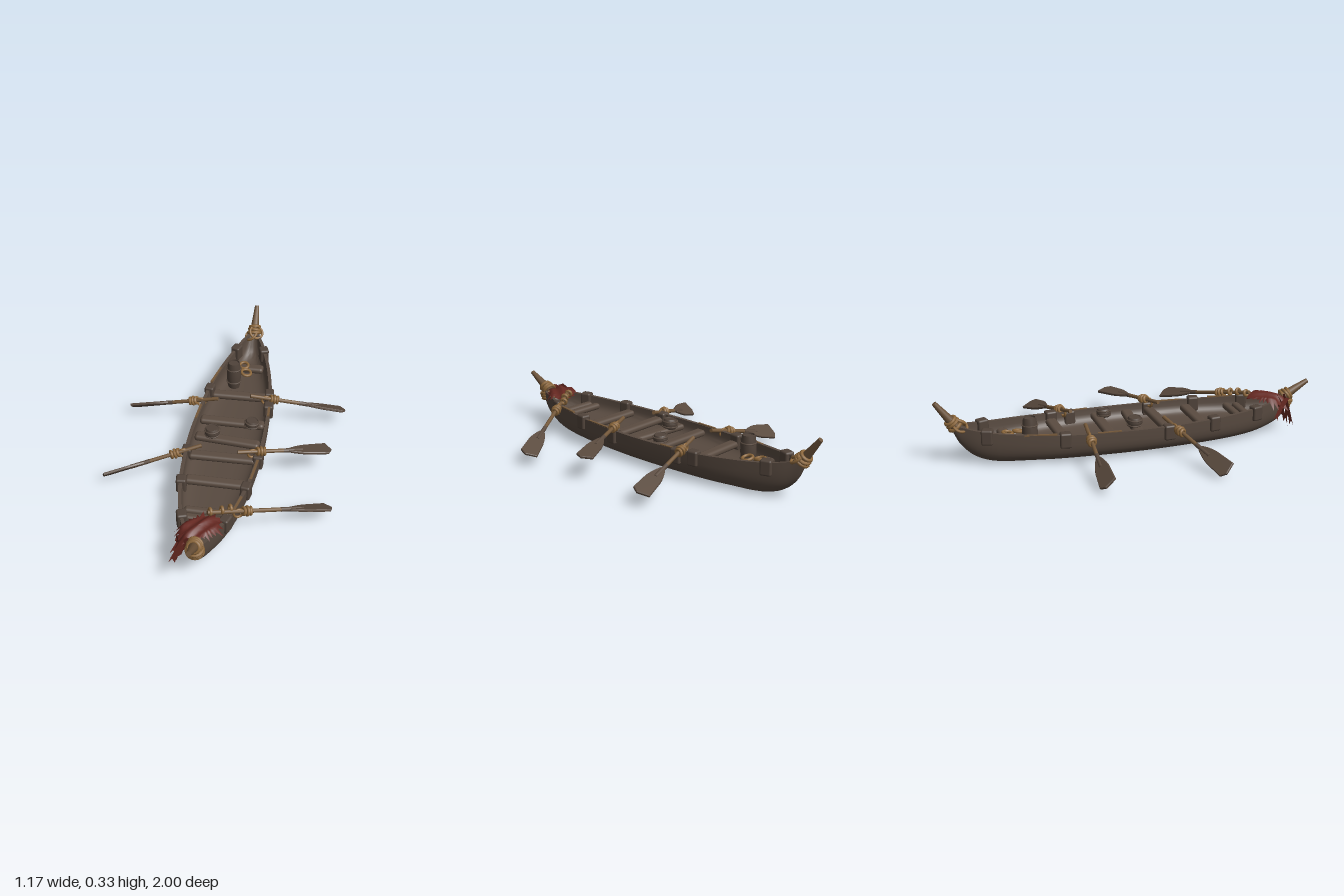
import * as THREE from 'three';
import { toCreasedNormals } from 'three/addons/utils/BufferGeometryUtils.js';
import { RoundedBoxGeometry } from 'three/addons/geometries/RoundedBoxGeometry.js';

const V = (x, y, z) => new THREE.Vector3(x, y, z);
function material(name, color, side = THREE.FrontSide) {
  const m = new THREE.MeshStandardMaterial({ color, side });
  m.name = name;
  return m;
}
const mats = {
  hull: material('hull wood', 0x584a40),
  bench: material('bench wood', 0x5b4c41),
  dark: material('dark wood', 0x50433a),
  blade: material('oar blade wood', 0x5a4a3e),
  shaft: material('oar shaft wood', 0x74583a),
  rope: material('rope', 0x8c673b),
  horn: material('horn', 0x6a5138),
  cloth: material('red cloth', 0x662821, THREE.DoubleSide),
};
const CX = 0.008;

// Hull stations: z, half width, rim height, bottom height
const stations = [
  [-0.91, 0.018, 0.215, 0.18], [-0.87, 0.035, 0.2, 0.1], [-0.8, 0.07, 0.185, 0.035], [-0.7, 0.105, 0.172, 0.005],
  [-0.55, 0.145, 0.162, 0.003], [-0.35, 0.178, 0.152, 0.001], [0, 0.197, 0.148, 0], [0.3, 0.183, 0.15, 0.002],
  [0.5, 0.154, 0.155, 0.004], [0.65, 0.117, 0.162, 0.01], [0.76, 0.075, 0.168, 0.03], [0.83, 0.045, 0.172, 0.06],
  [0.88, 0.02, 0.18, 0.12],
];
const upper = new THREE.CatmullRomCurve3(stations.map(s => V(s[0], s[1], s[2])), false, 'catmullrom');
const lower = new THREE.CatmullRomCurve3(stations.map(s => V(s[0], s[3], 0)), false, 'catmullrom');
const table = Array.from({ length: 49 }, (_, i) => {
  const p = upper.getPoint(i / 48);
  return { z: p.x, w: p.y, rim: p.z, bottom: Math.max(0, lower.getPoint(i / 48).y) };
});
function rimAt(z) {
  let i = 0;
  while (i < table.length - 2 && table[i + 1].z < z) i++;
  const a = table[i], b = table[i + 1];
  const t = THREE.MathUtils.clamp((z - a.z) / (b.z - a.z), 0, 1);
  return { w: a.w + (b.w - a.w) * t, y: a.rim + (b.rim - a.rim) * t, slope: Math.atan2(b.w - a.w, b.z - a.z) };
}

// Hollow shell: each section runs down the outside and back along the inside
function hullGeometry() {
  const M = 22, R = 2 * (M + 1), pos = [], idx = [];
  for (const s of table) {
    const n = 2 + 1.6 * Math.min(1, s.w / 0.15);
    const inW = Math.max(0.003, s.w - 0.018);
    const inDepth = Math.max(0.002, (s.rim - s.bottom - 0.065) * THREE.MathUtils.smoothstep(s.w, 0.02, 0.06));
    for (let k = 0; k < R; k++) {
      const inside = k > M;
      const a = Math.PI * (inside ? R - 1 - k : k) / M;
      const c = Math.cos(a), sn = Math.max(0, Math.sin(a));
      const x = Math.sign(c) * Math.pow(Math.abs(c), 2 / n) * (inside ? inW : s.w);
      pos.push(CX + x, s.rim - Math.pow(sn, 2 / n) * (inside ? inDepth : s.rim - s.bottom), s.z);
    }
  }
  for (let i = 0; i < table.length - 1; i++) for (let j = 0; j < R; j++) {
    const a = i * R + j, b = i * R + (j + 1) % R, c = a + R, d = b + R;
    idx.push(a, c, b, b, c, d);
  }
  const last = (table.length - 1) * R;
  for (let j = 0; j < M; j++) {
    const p = j, q = j + 1, u = R - 1 - j, v = R - 2 - j;
    idx.push(last + p, last + u, last + q, last + q, last + u, last + v);
    idx.push(p, q, u, q, v, u);
  }
  const g = new THREE.BufferGeometry();
  g.setAttribute('position', new THREE.Float32BufferAttribute(pos, 3));
  g.setIndex(idx);
  return toCreasedNormals(g, 0.8);
}

export function createModel() {
  const model = new THREE.Group();
  model.name = 'rowingBoat';
  function add(name, geo, mat, at = V(0, 0, 0), parent = model) {
    const m = new THREE.Mesh(geo, mat);
    m.name = name;
    m.position.copy(at);
    parent.add(m);
    return m;
  }
  // Rope ring wound around an axis
  function ring(name, at, axis, r, tube = 0.008) {
    const m = add(name, new THREE.TorusGeometry(r, tube, 8, 18), mats.rope, at);
    m.quaternion.setFromUnitVectors(V(0, 0, 1), axis.clone().normalize());
    return m;
  }

  add('hull', hullGeometry(), mats.hull);

  // Benches: z, length, yaw
  const benches = [[-0.65, 0.18, 0], [-0.38, 0.3, 0.03], [-0.14, 0.34, 0], [0.015, 0.34, -0.08],
    [0.155, 0.34, 0.02], [0.35, 0.3, 0], [0.57, 0.22, 0], [0.62, 0.2, 0]];
  for (const [z, len, yaw] of benches) {
    const b = add('bench', new RoundedBoxGeometry(len, 0.034, z > 0.5 ? 0.042 : 0.058, 3, 0.016), mats.bench, V(CX, 0.116, z));
    b.rotation.y = yaw;
  }

  // Wooden clamps straddling the rim: side, z, drop below the rim
  const clamps = [[1, -0.28, 0.034]];
  for (const side of [-1, 1]) clamps.push([side, -0.75, 0.024], [side, -0.38, 0.026], [side, 0.15, 0.032], [side, 0.4, 0.024], [side, 0.655, 0.026]);
  for (const [side, z, drop] of clamps) {
    const r = rimAt(z);
    const c = add('rimClamp', new RoundedBoxGeometry(0.05, 0.078, 0.058, 2, 0.01), mats.dark, V(CX + side * (r.w - 0.012), r.y - drop, z));
    c.rotation.y = side * r.slope;
  }

  // Worn pale strips along the rim
  for (const [side, z0, z1] of [[-1, -0.58, -0.42], [-1, -0.22, -0.1], [1, -0.26, -0.18], [1, 0.19, 0.34], [1, 0.48, 0.6]]) {
    const zm = (z0 + z1) / 2, r = rimAt(zm);
    const s = add('wornRim', new THREE.BoxGeometry(0.012, 0.008, z1 - z0), mats.shaft, V(CX + side * (r.w - 0.007), r.y, zm));
    s.rotation.y = side * r.slope;
  }

  // Oars: inner end, tip, position of the rope lashing, blade twist
  const bladeShape = new THREE.Shape();
  bladeShape.moveTo(-0.01, -0.01);
  bladeShape.quadraticCurveTo(0.03, -0.03, 0.08, -0.037);
  bladeShape.lineTo(0.19, -0.044);
  bladeShape.lineTo(0.205, 0.012);
  bladeShape.lineTo(0.185, 0.04);
  bladeShape.lineTo(0.08, 0.036);
  bladeShape.quadraticCurveTo(0.03, 0.028, -0.01, 0.01);
  const bladeGeo = new THREE.ExtrudeGeometry(bladeShape, { depth: 0.008, bevelEnabled: true, bevelSize: 0.003, bevelThickness: 0.003, bevelSegments: 1 });
  bladeGeo.translate(0, 0, -0.004).rotateX(Math.PI / 2);
  const oars = [
    [V(0.08, 0.185, -0.295), V(0.58, 0.072, -0.41), 0.13, -0.35],
    [V(0.09, 0.18, 0.18), V(0.54, 0.127, 0.005), 0.12, -0.1],
    [V(0.03, 0.205, 0.67), V(0.58, 0.058, 0.37), 0.2, -0.35],
    [V(-0.09, 0.17, -0.262), V(-0.58, 0.045, -0.285), 0.14, 0.7],
    [V(-0.1, 0.17, 0.145), V(-0.58, 0.04, 0.31), 0.14, 0.75],
  ];
  for (const [a, b, lash, twist] of oars) {
    const X = b.clone().sub(a), len = X.length();
    X.normalize();
    const Z = X.clone().cross(V(0, 1, 0)).normalize(), Y = Z.clone().cross(X);
    const oar = new THREE.Group();
    oar.name = 'oar';
    oar.position.copy(a);
    oar.quaternion.setFromRotationMatrix(new THREE.Matrix4().makeBasis(X, Y, Z));
    oar.rotateX(twist);
    model.add(oar);
    const neck = len - 0.21;
    const mid = neck * 0.75 + lash * 0.25;
    for (const [x0, x1, r, mat] of [[0, mid, 0.01, mats.shaft], [mid, neck + 0.06, 0.011, mats.blade]]) {
      const s = add('oarShaft', new THREE.CylinderGeometry(r, r, x1 - x0, 10), mat, V((x0 + x1) / 2, 0, 0), oar);
      s.rotation.z = -Math.PI / 2;
    }
    add('oarBlade', bladeGeo, mats.blade, V(neck, 0, 0), oar);
    // Lashing around the shaft and down to the rim
    for (let i = -1; i <= 1; i++) {
      const p = a.clone().addScaledVector(X, lash + i * 0.018);
      ring('oarLashing', p, X.clone().add(V(0, i * 0.15, 0.2 * i)), 0.019 - Math.abs(i) * 0.003);
    }
    ring('rimLashing', a.clone().addScaledVector(X, lash - 0.045).add(V(0, -0.012, 0)), Z, 0.022, 0.006);
  }
  for (const [x, y, z] of [[0.04, 0.2, 0.655], [0.09, 0.195, 0.63], [0.125, 0.185, 0.6]]) ring('oarKnot', V(x, y, z), V(1, -0.2, -0.5), 0.014);

  // Horn posts with rope wrapping at bow and stern
  const posts = [
    ['bowHorn', V(CX, 0.165, 0.845), V(CX, 0.248, 0.993), 0.028],
    ['sternHorn', V(CX, 0.19, -0.885), V(CX, 0.325, -0.988), 0.027],
  ];
  for (const [name, a, b, r] of posts) {
    const d = b.clone().sub(a), len = d.length();
    d.normalize();
    const horn = add(name, new THREE.CylinderGeometry(0.012, r, len, 12), mats.horn, a.clone().add(b).multiplyScalar(0.5));
    horn.quaternion.setFromUnitVectors(V(0, 1, 0), d);
    for (let i = 0; i < 3; i++) ring('postRope', a.clone().addScaledVector(d, 0.012 + i * 0.018), d.clone().add(V((i % 2 - 0.5) * 0.2, 0, 0)), 0.033 - i * 0.003, 0.009);
  }
  for (let i = 0; i < 3; i++) ring('bowRope', V(CX, 0.157 - i * 0.013, 0.865 - i * 0.006), V(0, 1, 0.25), 0.035, 0.011);
  ring('sternRopeLoop', V(CX + 0.014, 0.215, -0.875), V(0.4, 0.8, 0.5), 0.037, 0.007);
  ring('sternRopeLoop', V(CX - 0.014, 0.2, -0.87), V(-0.5, 0.8, 0.3), 0.036, 0.007);

  // Torn cloth draped over the bow, with uneven reach and folds
  const cloth = new THREE.RingGeometry(0.001, 1, 48, 6);
  cloth.rotateX(-Math.PI / 2);
  const cp = cloth.attributes.position;
  for (let i = 0; i < cp.count; i++) {
    const x = cp.getX(i), z = cp.getZ(i), r = Math.hypot(x, z), a = Math.atan2(z, x);
    const k = (Math.round(a / (Math.PI / 24)) + 48) % 6;
    const reach = 0.09 + 0.022 * Math.cos(2 * a + 1.5) + (r > 0.9 ? [0.022, -0.006, 0.006, -0.014, 0.012, -0.01][k] : 0);
    const px = 0.006 + x * reach, pz = 0.752 + z * reach;
    const over = Math.max(0, Math.abs(px - CX) - rimAt(pz).w - 0.004);
    cp.setXYZ(i, px, 0.197 + 0.007 * Math.sin(px * 90 + pz * 60) - 0.02 * r ** 3 - over * 0.9, pz);
  }
  cloth.computeVertexNormals();
  add('bowCloth', cloth, mats.cloth);

  // Hanging tatters on the right of the bow: position, yaw, height scale
  const tatter = new THREE.Shape([[0, 0.185], [-0.03, 0.2], [-0.06, 0.175], [-0.085, 0.12], [-0.115, 0.05], [-0.097, 0.072],
    [-0.085, 0.045], [-0.075, 0.082], [-0.06, 0.09], [-0.05, 0.12], [-0.035, 0.14]].map(p => new THREE.Vector2(...p)));
  const tatterGeo = new THREE.ShapeGeometry(tatter);
  for (const [p, yaw, h] of [[V(0, 0, 0.855), -0.2, 1], [V(-0.005, 0, 0.835), 0.25, 1], [V(-0.01, 0.03, 0.79), 0.35, 0.85], [V(-0.065, 0.045, 0.86), -1.2, 0.75]]) {
    const t = add('clothTatter', tatterGeo, mats.cloth, p);
    t.rotation.y = yaw;
    t.scale.y = h;
  }

  // Barrel and pots, turned on a lathe
  function vessel(name, x, y, z, r, h, lean = 0) {
    const pts = [[0, 0], [0.78, 0], [0.92, 0.2], [1, 0.5], [0.92, 0.8], [0.8, 1], [0.7, 1], [0.68, 0.95], [0, 0.95]];
    const g = new THREE.LatheGeometry(pts.map(p => new THREE.Vector2(p[0] * r, p[1] * h)), 16);
    const v = add(name, toCreasedNormals(g, 0.6), mats.dark, V(x, y, z));
    v.rotation.z = lean;
    for (const t of [0.25, 0.75]) {
      const hoop = add(name + 'Hoop', new THREE.TorusGeometry(r * 0.95, 0.004, 6, 18), mats.bench, V(0, h * t, 0), v);
      hoop.rotation.x = Math.PI / 2;
    }
  }
  vessel('barrel', -0.05, 0.066, -0.535, 0.04, 0.16);
  vessel('pot', -0.07, 0.125, 0, 0.04, 0.053, 0.05);
  vessel('pot', 0.115, 0.125, -0.11, 0.038, 0.043, -0.08);

  // Loose rope coils at the stern
  ring('ropeCoil', V(0.012, 0.135, -0.58), V(0.2, 1, 0.1), 0.026, 0.008);
  ring('ropeCoil', V(-0.01, 0.14, -0.64), V(0, 1, 0.2), 0.024, 0.008);
  return model;
}
